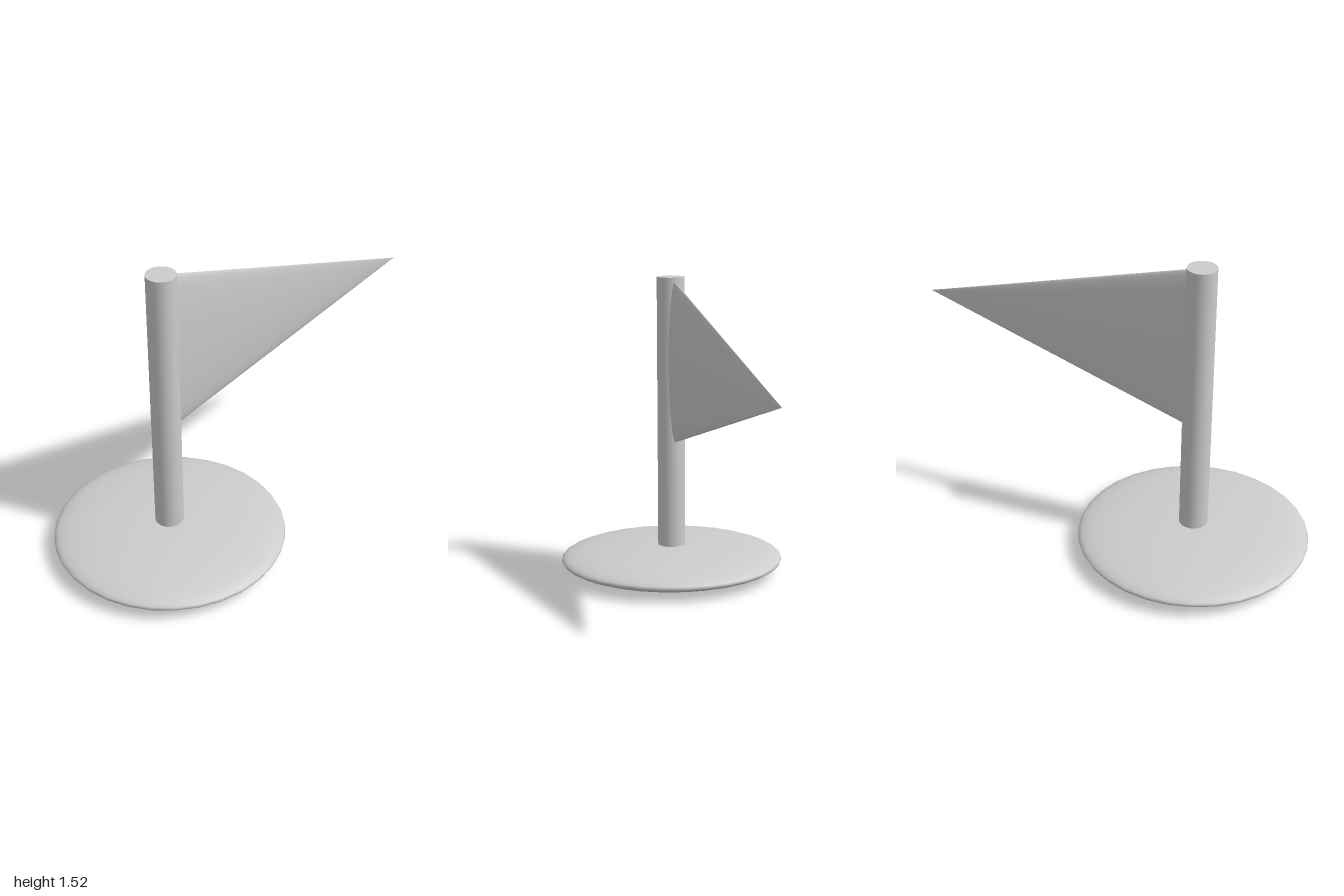
import * as THREE from 'three';

export function createModel() {
  const group = new THREE.Group();
  const grey = new THREE.MeshStandardMaterial({ color: 0xcccccc });
  grey.name = 'light grey';

  const poleX = -0.432, poleRadius = 0.07, poleTop = 1.52, poleBottom = 0.03;

  function add(name, geometry, x, y) {
    const mesh = new THREE.Mesh(geometry, grey);
    mesh.name = name;
    mesh.position.set(x, y, 0);
    group.add(mesh);
  }

  // Flattened round foot
  add('base', new THREE.SphereGeometry(1, 32, 24).scale(0.568, 0.072, 0.568), poleX, 0.072);

  // Upright pole, set into the foot
  const poleHeight = poleTop - poleBottom;
  add('pole', new THREE.CylinderGeometry(poleRadius, poleRadius, poleHeight, 32),
    poleX, poleBottom + poleHeight / 2);

  // Pennant: a cone laid on its side, squeezed thin, its wide end inside the pole
  const tipX = 1, rootX = -0.4, length = tipX - rootX;
  const pennant = new THREE.ConeGeometry(1, length, 48)
    .rotateZ(-Math.PI / 2)
    .scale(1, 0.415, 0.034);
  add('pennant', pennant, rootX + length / 2, 1.095);

  return group;
}
